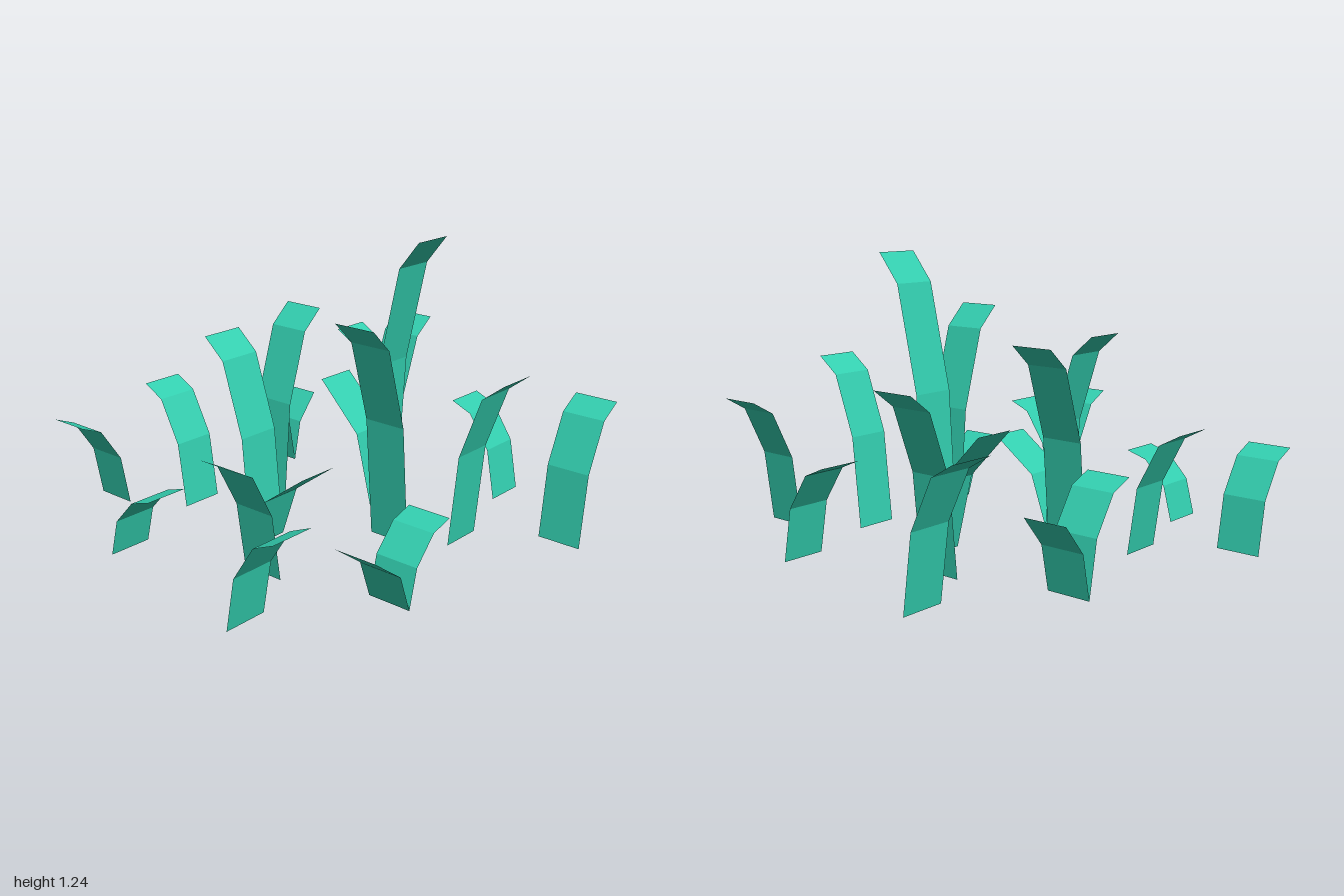
import * as THREE from 'three';

const WIDTH = 0.195;

// Blade profiles: [lean, height]; lean is in units, or a fraction of reach for shoots
const BLADE = [[0, 0], [0.042, 0.54], [0.143, 0.9], [0.243, 1]];
const SHOOT = [[0, 0], [0.28, 0.6], [1, 1]];

// Flat strip of grass, bent towards +z, one quad per profile step
function stripGeometry(profile) {
  const geo = new THREE.PlaneGeometry(WIDTH, 1, 1, profile.length - 1);
  const pos = geo.attributes.position;
  for (let i = 0; i < pos.count; i++) {
    const [z, y] = profile[profile.length - 1 - Math.floor(i / 2)];
    pos.setY(i, y);
    pos.setZ(i, z);
  }
  geo.computeVertexNormals();
  return geo;
}

// Turn about y that points the bend along each axis
const TURN = { '+z': 0, '+x': Math.PI / 2, '-z': Math.PI, '-x': -Math.PI / 2 };

// Blades: base x, base z, bend direction, height
const BLADES = [
  [-0.455, -0.90, '-x', 0.42],
  [-0.225, -0.57, '-z', 0.535],
  [0.435, -0.695, '-x', 0.425],
  [0.90, -0.39, '-z', 0.59],
  [-0.765, -0.435, '+z', 0.30],
  [-0.025, -0.335, '+x', 0.88],
  [-0.335, -0.05, '-z', 0.875],
  [0.335, 0.047, '+z', 1.24],
  [0.565, -0.155, '+x', 0.755],
  [-0.57, 0.15, '-x', 0.535],
  [0.02, 0.33, '-x', 0.98],
  [-0.90, 0.38, '+z', 0.42],
  [-0.435, 0.69, '+x', 0.30],
  [0.22, 0.562, '+z', 0.755],
  [0.76, 0.43, '-z', 0.425],
  [0.455, 0.90, '+x', 0.59],
];

// Side shoots sharing a base with a blade: x, z, direction, height, reach
const SHOOTS = [
  [0.435, -0.695, '+x', 0.315, 0.145],
  [-0.335, -0.05, '+z', 0.38, 0.292],
  [0.335, 0.047, '-z', 0.54, 0.292],
  [-0.435, 0.69, '-x', 0.27, 0.207],
];

export function createModel() {
  const group = new THREE.Group();
  group.name = 'grassPatch';
  const material = new THREE.MeshStandardMaterial({
    color: 0x33cfb0, flatShading: true, side: THREE.DoubleSide,
  });

  const plant = (name, profile, x, z, direction) => {
    const mesh = new THREE.Mesh(stripGeometry(profile), material);
    mesh.name = name;
    mesh.position.set(x, 0, z);
    mesh.rotation.y = TURN[direction];
    group.add(mesh);
  };

  // Tall blades
  BLADES.forEach(([x, z, dir, h], i) =>
    plant(`grassBlade${i + 1}`, BLADE.map(([l, y]) => [l, y * h]), x, z, dir));

  // Short side shoots
  SHOOTS.forEach(([x, z, dir, h, reach], i) =>
    plant(`sideShoot${i + 1}`, SHOOT.map(([l, y]) => [l * reach, y * h]), x, z, dir));

  return group;
}
